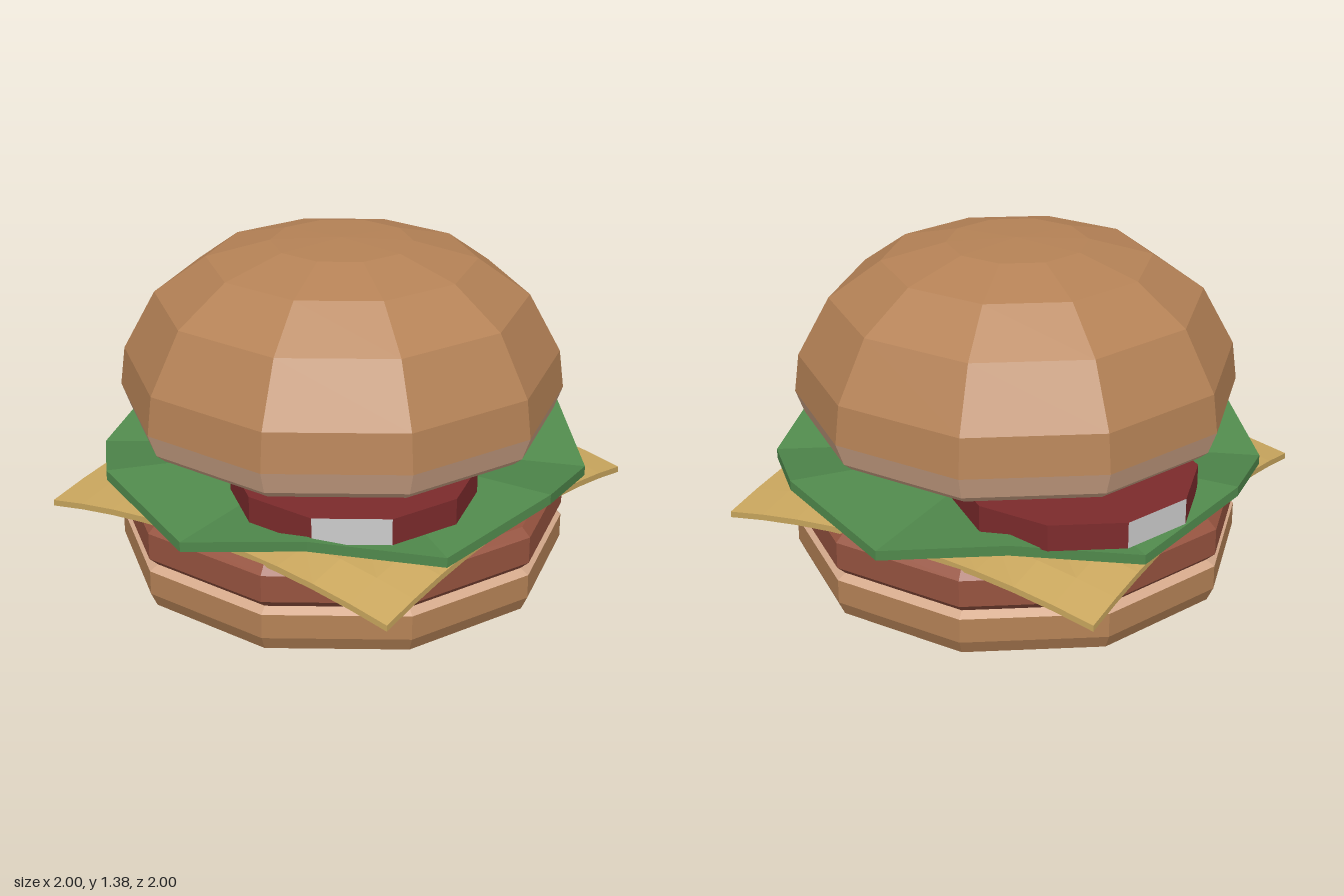
import * as THREE from 'three';

const COLORS = {
  crust: 0xb58256, crumb: 0xd3a88a, patty: 0x96533f,
  cheese: 0xcaa75e, lettuce: 0x50894c, tomato: 0x7c2b2c, plain: 0xcccccc,
};

function mesh(name, geometry, color) {
  const material = new THREE.MeshStandardMaterial({ color, flatShading: true });
  const m = new THREE.Mesh(geometry, material);
  m.name = name;
  return m;
}

// Ten-sided turned part; profile is [radius, y] from bottom to top
function turned(name, profile, color, segments = 10, start = 0) {
  const points = profile.map(([r, y]) => new THREE.Vector2(r, y));
  const step = Math.PI / 5;
  return mesh(name, new THREE.LatheGeometry(points, segments, start * step, segments * step), color);
}

function group(name, ...parts) {
  const g = new THREE.Group();
  g.name = name;
  g.add(...parts);
  return g;
}

// Slice with one plain side face, starting at side number plainSide
function tomatoSlice(name, x, z, plainSide) {
  const r = 0.476, y0 = 0.515, y1 = 0.62;
  const side = [[r, y0], [r, y1]];
  const slice = group(name,
    turned('sliceBottom', [[0, y0], [r, y0]], COLORS.tomato),
    turned('sliceTop', [[r, y1], [0, y1]], COLORS.tomato),
    turned('sliceSkin', side, COLORS.tomato, 9, plainSide + 1),
    turned('slicePlainFace', side, COLORS.plain, 1, plainSide));
  slice.position.set(x, 0, z);
  return slice;
}

// Move every vertex's y by a rule of x and z
function bend(geometry, rule) {
  const p = geometry.attributes.position;
  for (let i = 0; i < p.count; i++) p.setY(i, p.getY(i) + rule(p.getX(i), p.getZ(i)));
  geometry.computeVertexNormals();
  return geometry;
}

export function createModel() {
  const burger = new THREE.Group();
  burger.name = 'burger';

  // Bottom bun: crust with a pale cut edge on top
  burger.add(group('bottomBun',
    turned('bottomCrust', [[0, 0], [0.86, 0], [0.89, 0.012], [0.917, 0.07], [0.917, 0.17]], COLORS.crust),
    turned('bottomCut', [[0.917, 0.17], [0.88, 0.19], [0, 0.19]], COLORS.crumb)));

  // Meat patty
  burger.add(turned('patty',
    [[0, 0.19], [0.88, 0.19], [0.917, 0.225], [0.917, 0.335], [0.88, 0.37], [0, 0.37]], COLORS.patty));

  // Cheese: square sheet whose corners droop outside the patty
  const half = 0.84;
  const sheet = new THREE.BoxGeometry(half * 2, 0.025, half * 2, 10, 1, 10);
  const cheese = mesh('cheese', bend(sheet, (x, z) =>
    -0.09 * Math.max(0, (x * x + z * z) / (half * half) - 1)), COLORS.cheese);
  cheese.position.y = 0.382;
  burger.add(cheese);

  // Lettuce: twelve-sided leaf with alternating high and low points
  const leaf = new THREE.CylinderGeometry(1, 1, 0.04, 12, 1);
  const lettuce = mesh('lettuce', bend(leaf, (x, z) =>
    0.052 * Math.hypot(x, z) * Math.cos(6 * Math.atan2(x, z))), COLORS.lettuce);
  lettuce.position.y = 0.472;
  burger.add(lettuce);

  // Two overlapping tomato slices
  burger.add(tomatoSlice('tomatoBack', 0.33, -0.465, 4));
  burger.add(tomatoSlice('tomatoFront', -0.376, 0.344, 8));

  // Top bun: pale underside and domed crust
  burger.add(group('topBun',
    turned('topCut', [[0, 0.624], [0.83, 0.624], [0.866, 0.655], [0.9, 0.747]], COLORS.crumb),
    turned('topCrust', [[0.9, 0.747], [0.88, 0.904], [0.75, 1.144], [0.54, 1.294],
      [0.283, 1.364], [0, 1.377]], COLORS.crust)));

  return burger;
}
